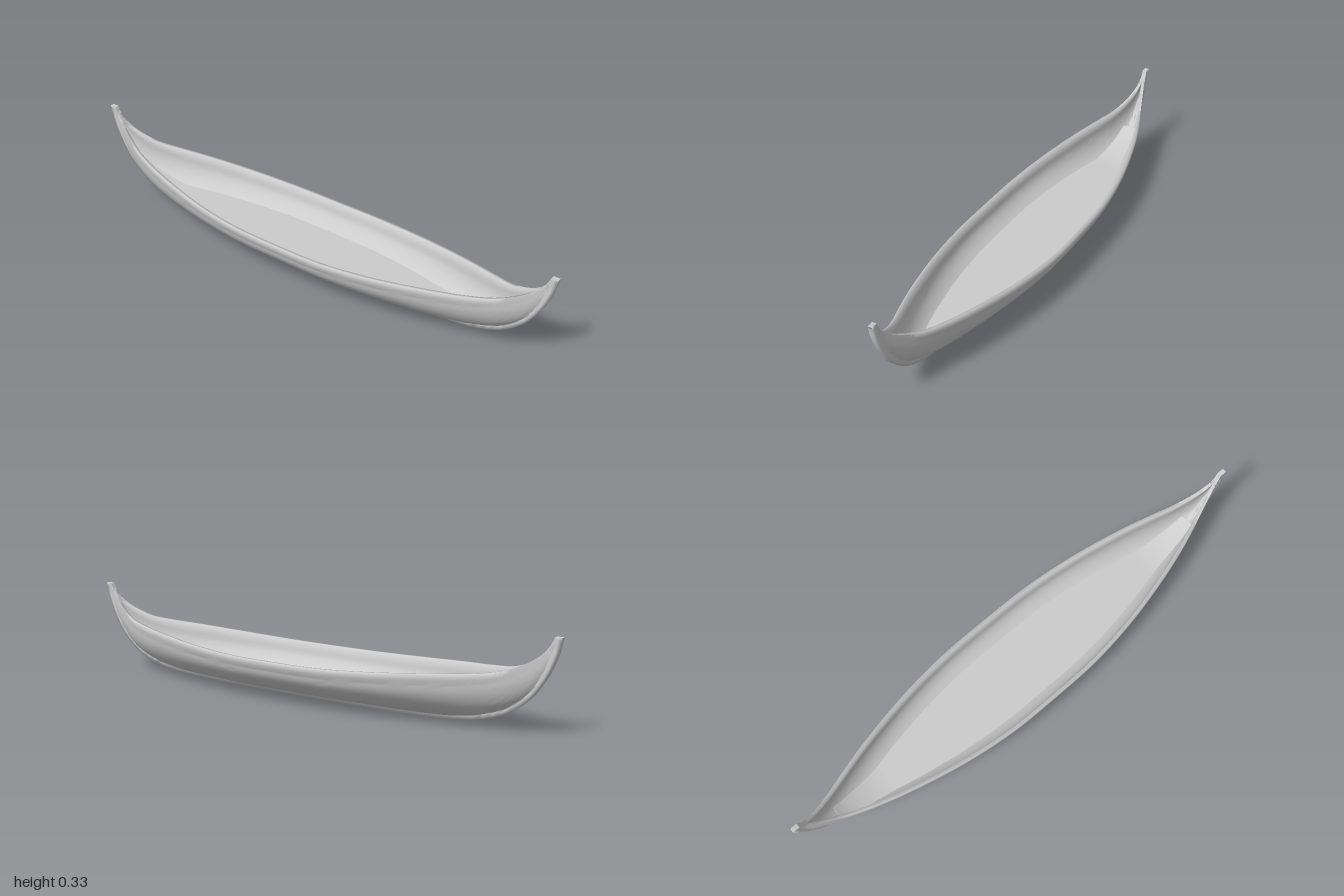
import * as THREE from 'three';
import { toCreasedNormals } from 'three/addons/utils/BufferGeometryUtils.js';

// Half-length stations: stem/keel z, y, then gunwale z, y, half beam
const STATIONS = [
  [0, 0, 0, 0.157, 0.195],
  [0.2, 0, 0.2, 0.159, 0.191],
  [0.4, 0.002, 0.4, 0.169, 0.167],
  [0.6, 0.011, 0.6, 0.184, 0.124],
  [0.72, 0.028, 0.72, 0.194, 0.09],
  [0.82, 0.064, 0.81, 0.207, 0.059],
  [0.9, 0.125, 0.885, 0.236, 0.032],
  [0.955, 0.203, 0.935, 0.27, 0.016],
  [0.985, 0.27, 0.962, 0.303, 0.0095],
  [1, 0.33, 0.975, 0.33, 0.008],
];
const mirrored = [
  ...STATIONS.slice(1).reverse().map(([zk, yk, zs, ys, b]) => [-zk, yk, -zs, ys, b]),
  ...STATIONS,
];
const keelCurve = new THREE.CatmullRomCurve3(mirrored.map((s) => new THREE.Vector3(0, s[1], s[0])));
const gunwaleCurve = new THREE.CatmullRomCurve3(mirrored.map((s) => new THREE.Vector3(s[4], s[3], s[2])));

// Side profile as fractions of beam and depth, keel to just under the rail
const side = new THREE.SplineCurve([
  [0, 0], [0.36, 0.11], [0.61, 0.25], [0.8, 0.43], [0.91, 0.61], [0.95, 0.77],
].map(([x, h]) => new THREE.Vector2(x, h))).getPoints(14);

function sideWidth(h) {
  const i = Math.max(1, side.findIndex((p) => p.y >= h));
  const a = side[i - 1], b = side[i];
  return a.x + (b.x - a.x) * (h - a.y) / (b.y - a.y);
}

// A slanted cross-section frame: point(x, depth fraction)
function station(t) {
  const keel = keelCurve.getPoint(t);
  const rail = gunwaleCurve.getPoint(t);
  const top = rail.clone().setX(0);
  const along = top.clone().sub(keel).normalize();
  const base = keel.clone().addScaledVector(along, 0.013);
  return {
    keel, base, top,
    beam: rail.x,
    depth: base.distanceTo(top),
    point: (x, h) => base.clone().lerp(top, h).setX(x),
  };
}

// Skin closed rings (counter-clockwise seen from +z) and cap both ends
function loft(rings, crease) {
  const n = rings[0].length, pos = [], idx = [];
  rings.forEach((r) => r.forEach((p) => pos.push(p.x, p.y, p.z)));
  for (let j = 0; j < rings.length - 1; j++) {
    for (let i = 0; i < n; i++) {
      const a = j * n + i, b = j * n + (i + 1) % n;
      idx.push(a, b, a + n, b, b + n, a + n);
    }
  }
  const last = (rings.length - 1) * n;
  for (let i = 1; i < n - 1; i++) {
    idx.push(0, i + 1, i);
    idx.push(last, last + i, last + i + 1);
  }
  const g = new THREE.BufferGeometry();
  g.setAttribute('position', new THREE.Float32BufferAttribute(pos, 3));
  g.setIndex(idx);
  return toCreasedNormals(g, crease);
}

const flip = (p) => new THREE.Vector3(-p.x, p.y, p.z);
const symmetric = (right) => [...right, ...right.slice().reverse().map(flip)];

// Keel strip blending into the planking, swelling rail, rim and inner wall
function hullRing(s) {
  const wall = 0.012, keelHalf = 0.008;
  const outer = side.map((p) => s.point(Math.max(keelHalf, p.x * s.beam), p.y));
  outer.unshift(s.keel.clone().setX(keelHalf));
  outer.push(s.point(s.beam, 0.86), s.point(s.beam, 1));
  const lift = Math.min(0.3, 0.012 / s.depth);
  const inner = side.slice().reverse().map((p) =>
    s.point(Math.max(0, p.x * s.beam - wall * p.y), p.y + lift * (1 - p.y)));
  const lip = s.point(Math.max(0, s.beam - wall), 1);
  return symmetric([...outer, lip, ...inner]);
}

// Floorboard, level amidships and rising toward the ends
function floorRing(s) {
  const rise = Math.max(0.064 - s.base.y, 0.036);
  const h = rise / (s.top.y - s.base.y);
  const x = Math.max(0.012, sideWidth(h) * s.beam - 0.008);
  return symmetric([s.point(x * 0.75, h * 0.65), s.point(x, h)]);
}

export function createModel() {
  const group = new THREE.Group();
  group.name = 'canoe';
  const material = new THREE.MeshStandardMaterial({ color: 0xcccccc, side: THREE.DoubleSide });
  const stations = Array.from({ length: 109 }, (_, i) => station(i / 108));
  const floorStations = stations.filter((s) => Math.abs(s.keel.z) < 0.86);
  const parts = {
    hull: loft(stations.map(hullRing), 1.65),
    floor: loft(floorStations.map(floorRing), 0.6),
  };
  for (const [name, geometry] of Object.entries(parts)) {
    const mesh = new THREE.Mesh(geometry, material);
    mesh.name = name;
    group.add(mesh);
  }
  return group;
}
